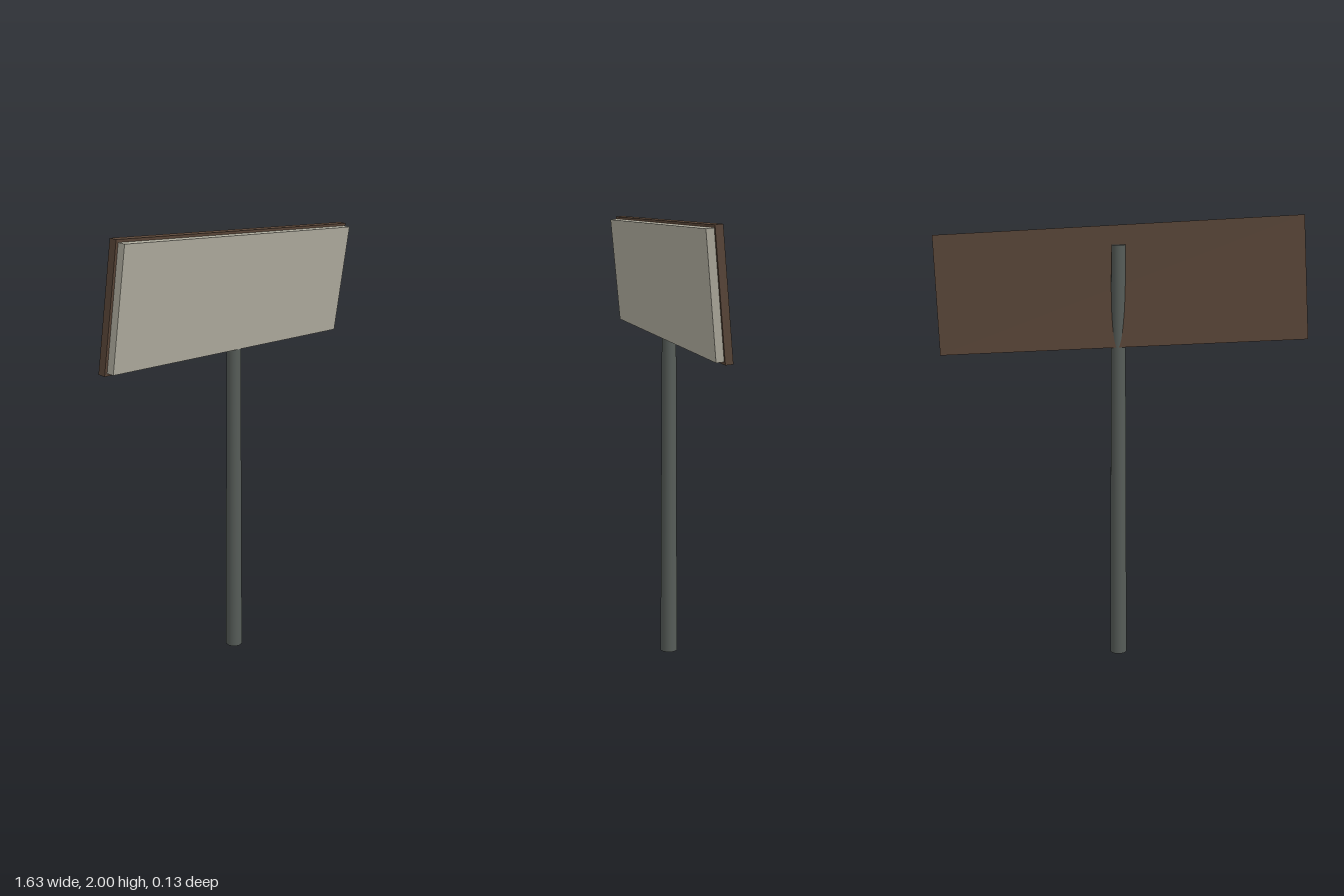
import * as THREE from 'three';

export function createModel() {
  const model = new THREE.Group();
  model.name = 'signpost';

  const material = (name, color) => {
    const m = new THREE.MeshStandardMaterial({ color });
    m.name = name;
    return m;
  };
  const postGrey = material('post grey', 0x565c58);
  const boardBrown = material('board brown', 0x5a4638);
  const panelGrey = material('panel warm grey', 0xb0ad9f);

  const add = (parent, name, geometry, mat, x, y, z) => {
    const mesh = new THREE.Mesh(geometry, mat);
    mesh.name = name;
    mesh.position.set(x, y, z);
    parent.add(mesh);
    return mesh;
  };

  // Slightly tapered round post, standing behind the sign
  const postHeight = 1.87;
  add(model, 'post', new THREE.CylinderGeometry(0.03, 0.038, postHeight, 24),
    postGrey, 0, postHeight / 2, -0.025);

  // Sign leans forward and hangs askew, lower on its left
  const sign = new THREE.Group();
  sign.name = 'sign';
  sign.position.set(0, 1.69, -0.013);
  sign.rotation.set(0.105, 0, -0.059);
  model.add(sign);

  // Backing board with a slightly smaller panel on its front
  add(sign, 'backingBoard', new THREE.BoxGeometry(1.603, 0.523, 0.032), boardBrown, 0, 0, 0);
  add(sign, 'frontPanel', new THREE.BoxGeometry(1.578, 0.5, 0.032), panelGrey, 0, 0, 0.032);

  return model;
}
